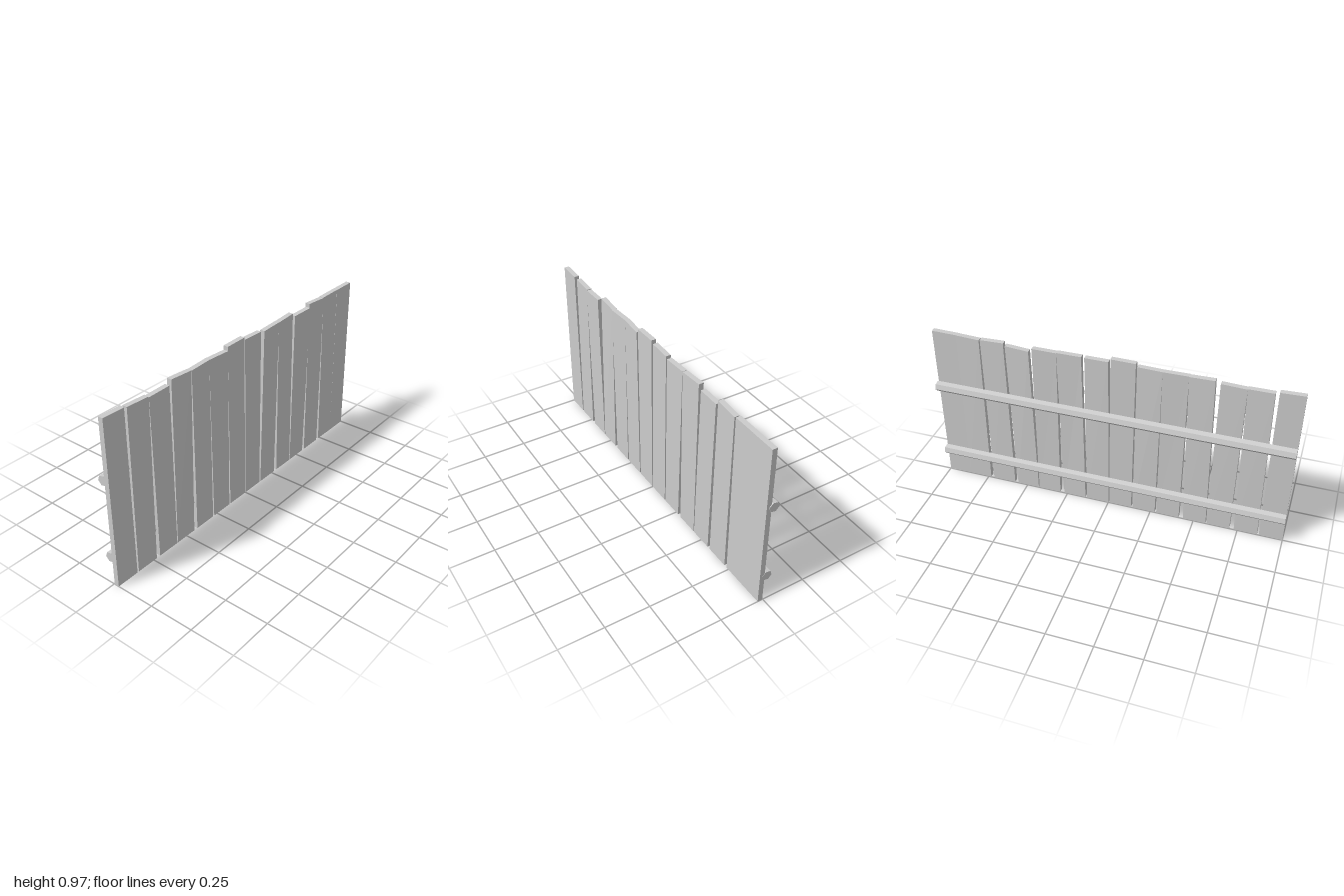
import * as THREE from 'three';

const material = new THREE.MeshStandardMaterial({ color: 0xcccccc, flatShading: true });
const THICKNESS = 0.028;

// Each plank: bottom left/right x, top left/right x, top left/right height, front z of the top left/right corner
const PLANKS = [
  [-1.0, -0.87, -1.0, -0.87, 0.955, 0.95, 0.03, 0.03],
  [-0.86, -0.73, -0.85, -0.715, 0.942, 0.938, 0.026, 0.031],
  [-0.705, -0.575, -0.715, -0.58, 0.934, 0.938, 0.032, 0.034],
  [-0.57, -0.44, -0.555, -0.42, 0.956, 0.95, 0.024, 0.029],
  [-0.415, -0.285, -0.42, -0.285, 0.95, 0.952, 0.032, 0.027],
  [-0.275, -0.145, -0.285, -0.15, 0.952, 0.95, 0.027, 0.035],
  [-0.135, -0.005, -0.145, -0.01, 0.97, 0.972, 0.03, 0.03],
  [0.0, 0.13, 0.0, 0.13, 0.955, 0.953, 0.026, 0.029],
  [0.14, 0.27, 0.15, 0.285, 0.95, 0.952, 0.036, 0.032],
  [0.295, 0.425, 0.285, 0.42, 0.95, 0.954, 0.031, 0.026],
  [0.43, 0.56, 0.44, 0.575, 0.932, 0.937, 0.027, 0.034],
  [0.58, 0.715, 0.58, 0.715, 0.957, 0.95, 0.026, 0.03],
  [0.735, 0.87, 0.72, 0.855, 0.95, 0.954, 0.026, 0.029],
  [0.87, 1.0, 0.855, 0.995, 0.954, 0.956, 0.03, 0.031],
];

// Box with its corners moved to make a slightly skewed, leaning plank
function plankGeometry([bl, br, tl, tr, hl, hr, zl, zr]) {
  const geometry = new THREE.BoxGeometry(1, 1, 1);
  const p = geometry.attributes.position;
  for (let i = 0; i < p.count; i++) {
    const right = p.getX(i) > 0, top = p.getY(i) > 0, front = p.getZ(i) > 0;
    const x = top ? (right ? tr : tl) : (right ? br : bl);
    const y = top ? (right ? hr : hl) : 0;
    const z = top ? (right ? zr : zl) : 0.031;
    p.setXYZ(i, x, y, front ? z : z - THICKNESS);
  }
  geometry.computeVertexNormals();
  return geometry;
}

export function createModel() {
  const fence = new THREE.Group();
  fence.name = 'fence';

  // Upright planks
  PLANKS.forEach((data, i) => {
    const plank = new THREE.Mesh(plankGeometry(data), material);
    plank.name = `plank${i + 1}`;
    fence.add(plank);
  });

  // Six-sided rails along the back
  for (const [name, y] of [['lowerRail', 0.162], ['upperRail', 0.609]]) {
    const geometry = new THREE.CylinderGeometry(0.029, 0.029, 2, 6, 1, false, Math.PI / 15);
    geometry.rotateZ(Math.PI / 2);
    const rail = new THREE.Mesh(geometry, material);
    rail.name = name;
    rail.position.set(0, y, -0.011);
    fence.add(rail);
  }
  return fence;
}
